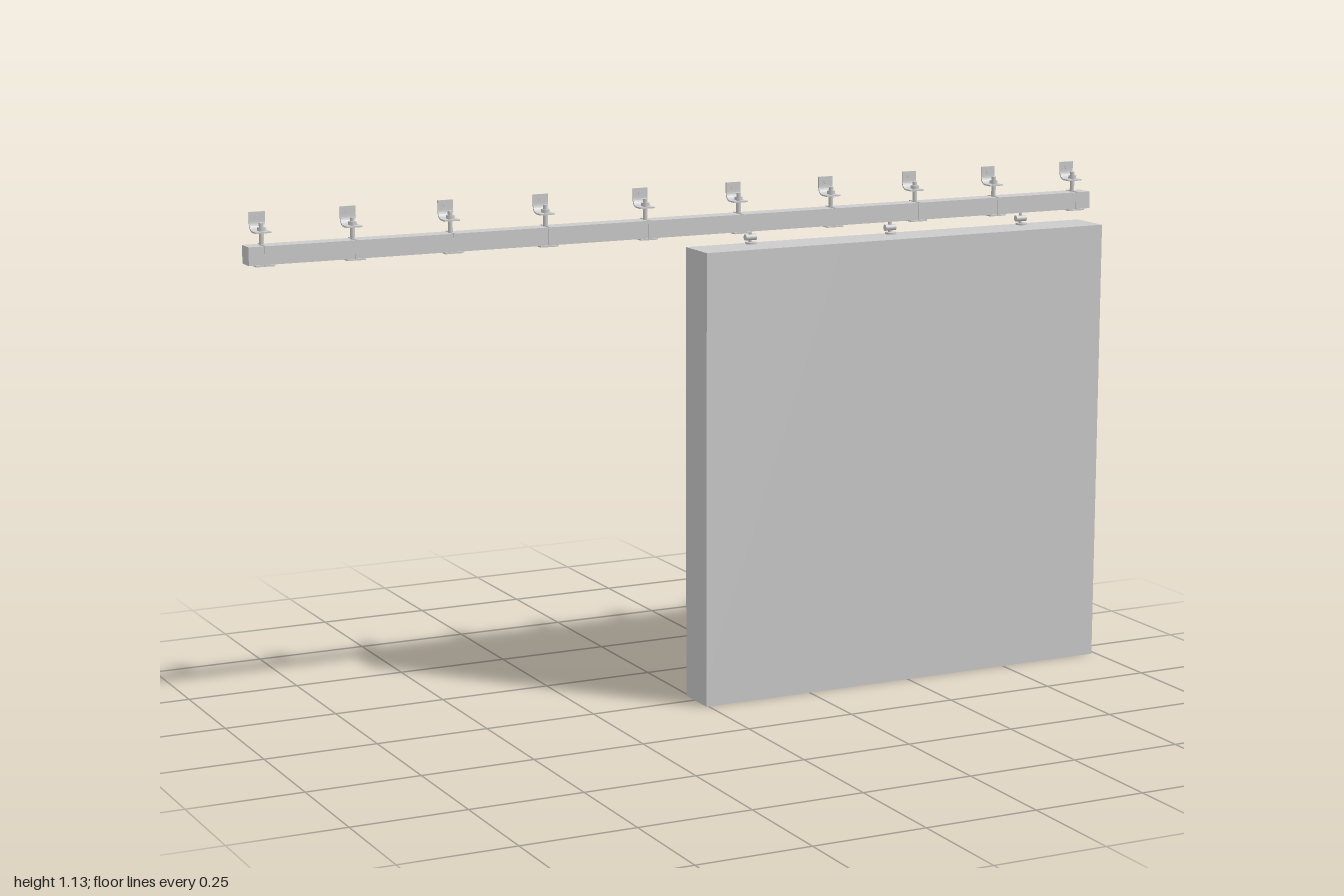
import * as THREE from 'three';

const material = new THREE.MeshStandardMaterial({ color: 0xcccccc });
const RAIL_Z = -0.029;

function add(parent, name, geometry, x, y, z) {
  const mesh = new THREE.Mesh(geometry, material);
  mesh.name = name;
  mesh.position.set(x, y, z);
  parent.add(mesh);
  return mesh;
}

// Curved strap: a flat foot sweeping up into an upright tab (profile in -z, y)
function strapGeometry(width) {
  const t = 0.003;
  const s = new THREE.Shape();
  s.moveTo(-0.012, 0);
  s.lineTo(0.01, 0);
  s.quadraticCurveTo(0.028, 0.002, 0.028, 0.022);
  s.lineTo(0.028, 0.04);
  s.lineTo(0.028 - t, 0.04);
  s.lineTo(0.028 - t, 0.022);
  s.quadraticCurveTo(0.028 - t, 0.002 + t, 0.01, t);
  s.lineTo(-0.012, t);
  s.closePath();
  const g = new THREE.ExtrudeGeometry(s, { depth: width, bevelEnabled: false, curveSegments: 8 });
  g.translate(0, 0, -width / 2);
  return g.rotateY(Math.PI / 2);
}

export function createModel() {
  const model = new THREE.Group();
  model.name = 'slidingDoor';

  // Door: three upright planks over a bottom rail
  const door = new THREE.Group();
  door.name = 'door';
  model.add(door);
  const left = -0.006, width = 0.996, plank = width / 3;
  for (let i = 0; i < 3; i++) {
    const inset = i === 1 ? 0.001 : 0;
    add(door, 'doorPlank', new THREE.BoxGeometry(plank, 0.95, 0.1 - inset),
      left + plank * (i + 0.5), 0.525, 0.01 + inset / 2);
  }
  add(door, 'doorBottomRail', new THREE.BoxGeometry(width, 0.05, 0.1), left + width / 2, 0.025, 0.01);

  // Overhead track
  add(model, 'track', new THREE.BoxGeometry(2, 0.038, 0.04), 0, 1.048, RAIL_Z);

  // Wall brackets along the track
  const strap = strapGeometry(0.034);
  const bolt = new THREE.CylinderGeometry(0.005, 0.005, 0.046, 12);
  const nut = new THREE.CylinderGeometry(0.009, 0.009, 0.007, 6);
  const plate = new THREE.BoxGeometry(0.04, 0.003, 0.042);
  const band = new THREE.BoxGeometry(0.004, 0.041, 0.0425);
  const screw = new THREE.CylinderGeometry(0.005, 0.005, 0.004, 12).rotateX(Math.PI / 2);
  for (const x of [-0.965, -0.77, -0.555, -0.34, -0.108, 0.115, 0.342, 0.553, 0.757, 0.965]) {
    const bracket = new THREE.Group();
    bracket.name = 'bracket';
    bracket.position.set(x, 0, RAIL_Z);
    model.add(bracket);
    add(bracket, 'bracketBolt', bolt, 0, 1.089, 0);
    add(bracket, 'bracketNut', nut, 0, 1.1, 0);
    add(bracket, 'bracketStrap', strap, 0, 1.092, 0);
    add(bracket, 'wallScrew', screw, 0, 1.12, -0.025);
    add(bracket, 'trackBand', band, 0, 1.048, 0);
    add(bracket, 'trackPlate', plate, 0, 1.027, 0);
  }

  // Hangers joining door and track
  const foot = new THREE.CylinderGeometry(0.013, 0.013, 0.004, 12);
  const stem = new THREE.CylinderGeometry(0.004, 0.004, 0.03, 10);
  const axle = new THREE.CylinderGeometry(0.007, 0.007, 0.026, 12).rotateZ(Math.PI / 2);
  for (const x of [0.143, 0.49, 0.828]) {
    const hanger = new THREE.Group();
    hanger.name = 'hanger';
    hanger.position.set(x, 0, -0.027);
    model.add(hanger);
    add(hanger, 'hangerFoot', foot, 0, 1.002, 0.004);
    add(hanger, 'hangerStem', stem, 0, 1.015, 0);
    add(hanger, 'hangerAxle', axle, 0, 1.014, 0);
  }
  return model;
}
